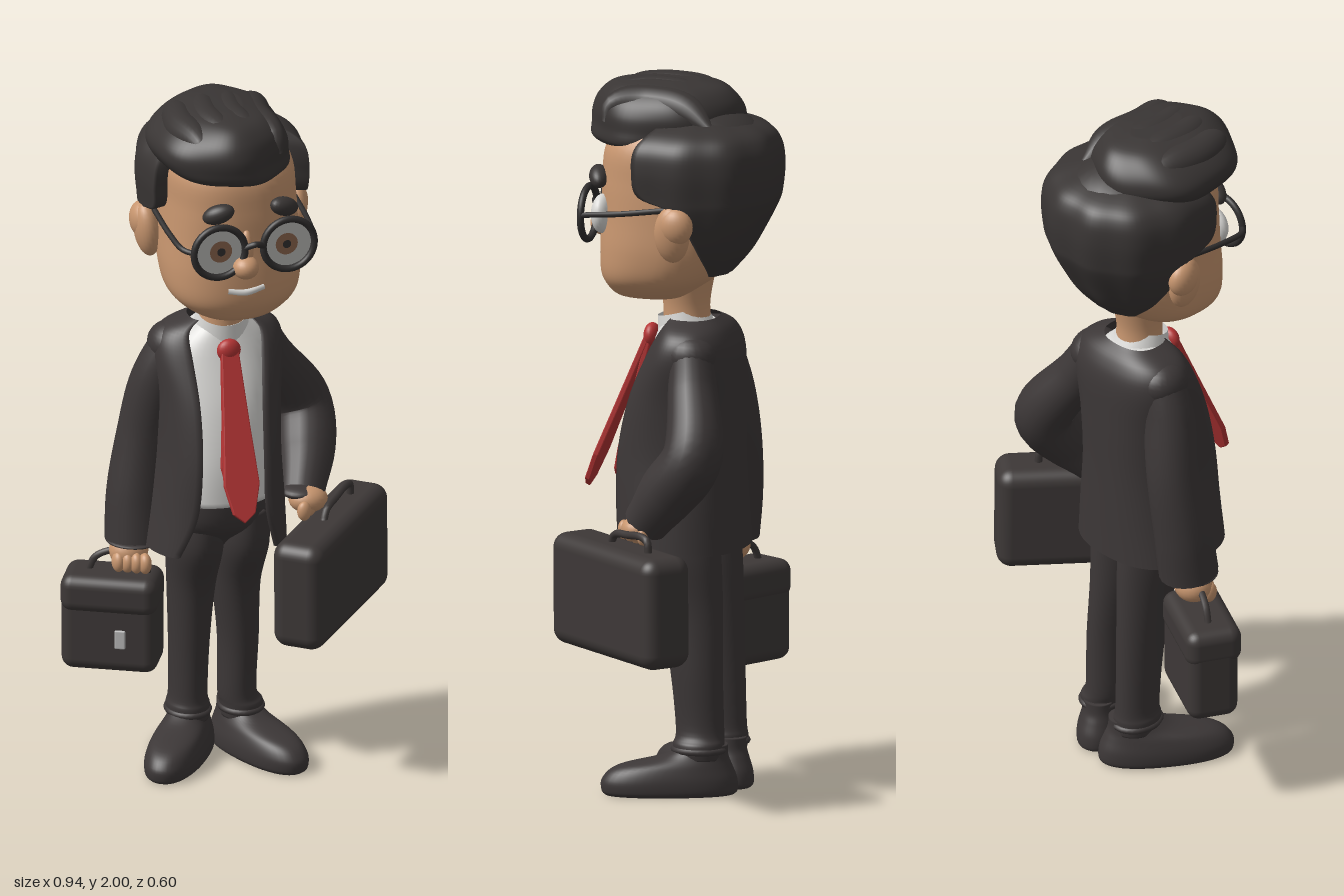
import * as THREE from 'three';
import { RoundedBoxGeometry } from 'three/addons/geometries/RoundedBoxGeometry.js';

const mat = (name, color, side = THREE.FrontSide) => {
  const m = new THREE.MeshStandardMaterial({ color, side });
  m.name = name;
  return m;
};
const V = (x, y, z) => new THREE.Vector3(x, y, z);

// Smooth value of a list of rows at t (0..1)
function sample(rows, t) {
  const f = t * (rows.length - 1), i = Math.min(Math.floor(f), rows.length - 2), u = f - i;
  const at = k => rows[Math.max(0, Math.min(rows.length - 1, k))];
  return rows[i].map((b, c) => {
    const a = at(i - 1)[c], d = at(i + 1)[c], e = at(i + 2)[c];
    return b + 0.5 * u * (d - a + u * (2 * a - 5 * b + 4 * d - e + u * (3 * (b - d) + e - a)));
  });
}

// Skin over horizontal sections [y, cx, cz, rx, rz, openHalfAngle], listed upwards.
// With lip set, the front stays open and its edges fold inwards to that scale.
function loft(rows, { power = 2, lip = 0, wave = () => 1, steps = 6, n = 48 } = {}) {
  const pos = [], idx = [], rings = (rows.length - 1) * steps;
  const w = lip ? n + 3 : n;
  for (let i = 0; i <= rings; i++) {
    const [y, cx, cz, rx, rz, open = 0] = sample(rows, i / rings);
    for (let j = 0; j < w; j++) {
      let k = 1, th = (j / n) * Math.PI * 2;
      if (lip) {
        if (j === 0 || j === w - 1) k = lip;
        th = open + (Math.max(0, Math.min(n, j - 1)) / n) * 2 * (Math.PI - open);
      }
      const s = Math.sin(th), c = Math.cos(th);
      k *= wave(th, y) / (Math.abs(s) ** power + Math.abs(c) ** power) ** (1 / power);
      pos.push(cx + rx * s * k, y, cz + rz * c * k);
    }
  }
  const cols = lip ? w - 1 : w;
  for (let i = 0; i < rings; i++) for (let j = 0; j < cols; j++) {
    const a = i * w + j, b = i * w + (j + 1) % w;
    idx.push(a, b, a + w, b, b + w, a + w);
  }
  if (!lip) {
    const low = rows[0], top = rows[rows.length - 1], c = pos.length / 3;
    pos.push(low[1], low[0], low[2], top[1], top[0], top[2]);
    for (let j = 0; j < w; j++) {
      const k = (j + 1) % w;
      idx.push(c, k, j, c + 1, rings * w + j, rings * w + k);
    }
  }
  const g = new THREE.BufferGeometry();
  g.setAttribute('position', new THREE.Float32BufferAttribute(pos, 3));
  g.setIndex(idx);
  g.computeVertexNormals();
  return g;
}

// Tube whose radius follows a list of radii
function limb(points, radii, seg = 28) {
  const curve = new THREE.CatmullRomCurve3(points);
  const g = new THREE.TubeGeometry(curve, seg, 1, 20), p = g.attributes.position, v = V();
  for (let i = 0; i < p.count; i++) {
    const t = Math.floor(i / 21) / seg, c = curve.getPointAt(t);
    v.fromBufferAttribute(p, i).sub(c).multiplyScalar(sample(radii.map(r => [r]), t)[0]).add(c);
    p.setXYZ(i, v.x, v.y, v.z);
  }
  return g;
}

export function createModel() {
  const root = new THREE.Group();
  const suit = mat('suit charcoal', 0x3c3737, THREE.DoubleSide);
  const hair = mat('hair black', 0x393534, THREE.DoubleSide);
  const skin = mat('skin', 0xc8966f);
  const white = mat('shirt white', 0xd9d8d5, THREE.DoubleSide);
  const red = mat('tie red', 0xb43434, THREE.DoubleSide);
  const frame = mat('frame black', 0x2f2d2d);
  const lens = mat('lens grey', 0xb2b1ae);
  const brown = mat('iris brown', 0x84604a);
  const leather = mat('case leather', 0x3d3837);
  const silver = mat('clasp silver', 0xb8b8b8);

  const add = (name, geo, m, parent = root) => {
    const o = new THREE.Mesh(geo, m);
    o.name = name;
    parent.add(o);
    return o;
  };
  const blob = (name, m, p, s, rz = 0, ry = 0) => {
    const o = add(name, new THREE.SphereGeometry(1, 24, 16), m);
    o.position.set(...p); o.scale.set(...s); o.rotation.set(0, ry, rz);
  };
  const tube = (name, m, pts, r, parent = root) =>
    add(name, new THREE.TubeGeometry(new THREE.CatmullRomCurve3(pts), 24, r, 8), m, parent);

  // Trousers and shoes
  add('hips', loft([[0.6, -0.04, -0.05, 0.03, 0.04], [0.68, -0.04, -0.04, 0.11, 0.09],
    [0.75, -0.042, -0.02, 0.14, 0.132], [0.87, -0.045, -0.01, 0.135, 0.138]], { power: 2.3 }), suit);
  for (const [side, x, z, yaw] of [['right', -0.1, -0.11, -0.6], ['left', 0.035, -0.09, 0.36]]) {
    const d = side === 'left' ? 0.012 : 0;
    add(side + 'Leg', loft([[0.1, x + d, z, 0.057, 0.068], [0.14, x + d, z, 0.06, 0.072], [0.18, x, z, 0.053, 0.068],
      [0.34, x, z + 0.01, 0.056, 0.074], [0.52, x - d, z + 0.03, 0.066, 0.09],
      [0.66, x - d, z + 0.065, 0.078, 0.12], [0.78, x - d, z + 0.075, 0.07, 0.118]]), suit);
    const cuff = add(side + 'Cuff', new THREE.TorusGeometry(0.056, 0.01, 8, 28), suit);
    cuff.position.set(x + d, 0.125, z); cuff.rotation.x = Math.PI / 2; cuff.scale.y = 1.2;
    const shoe = add(side + 'Shoe', loft([[0, 0, 0.08, 0.068, 0.178], [0.012, 0, 0.08, 0.078, 0.188],
      [0.045, 0, 0.08, 0.078, 0.186], [0.08, 0, 0.065, 0.068, 0.158], [0.108, 0, 0.01, 0.054, 0.092],
      [0.14, 0, -0.02, 0.045, 0.06]], { power: 2.3 }), suit);
    shoe.position.set(x + d, 0, z); shoe.rotation.y = yaw;
  }

  // Shirt, open jacket and collar
  add('shirt', loft([[0.82, -0.05, -0.01, 0.155, 0.148], [0.95, -0.045, -0.01, 0.145, 0.148], [1.1, -0.04, -0.025, 0.145, 0.137],
    [1.24, -0.035, -0.045, 0.14, 0.107], [1.32, -0.03, -0.035, 0.07, 0.07]], { power: 2.3 }), white);
  add('jacket', loft([[0.68, -0.058, -0.012, 0.2, 0.18, 0.75], [0.8, -0.05, -0.01, 0.185, 0.178, 0.57],
    [0.95, -0.045, -0.01, 0.17, 0.174, 0.56], [1.1, -0.04, -0.027, 0.172, 0.156, 0.56],
    [1.23, -0.035, -0.055, 0.185, 0.124, 0.58], [1.295, -0.033, -0.06, 0.16, 0.095, 0.7],
    [1.33, -0.03, -0.05, 0.088, 0.07, 0.9]], { power: 2.4, lip: 0.93, n: 56 }), suit);
  const collar = add('collar', new THREE.CylinderGeometry(0.068, 0.087, 0.08, 32, 1, true), white);
  collar.position.set(-0.03, 1.305, -0.025); collar.rotation.x = 0.25;

  // Tie with two hanging blades and a knot
  const blade = (name, w, len, p, tilt) => {
    const s = new THREE.Shape([[-0.022, 0], [0.022, 0], [w * 0.75, -len * 0.45], [w, -len * 0.78], [w * 0.6, -len * 0.95],
      [0, -len], [-w * 0.6, -len * 0.95], [-w, -len * 0.78], [-w * 0.75, -len * 0.45]].map(q => new THREE.Vector2(...q)));
    const o = add(name, new THREE.ExtrudeGeometry(s, { depth: 0.01, bevelSize: 0.003, bevelThickness: 0.003, bevelSegments: 2 }), red);
    o.position.set(...p); o.rotation.set(tilt, 0, -0.03);
  };
  blade('tieFront', 0.048, 0.47, [-0.04, 1.26, 0.078], -0.4);
  blade('tieBack', 0.036, 0.4, [-0.04, 1.25, 0.075], -0.25);
  blob('tieKnot', red, [-0.04, 1.265, 0.075], [0.034, 0.033, 0.022]);

  // Arms and hands
  add('rightSleeve', limb([V(-0.15, 1.26, -0.07), V(-0.193, 1.16, -0.08), V(-0.23, 0.98, -0.1), V(-0.258, 0.8, -0.09), V(-0.265, 0.67, -0.075)],
    [0.06, 0.073, 0.074, 0.08, 0.083]), suit);
  add('leftSleeve', limb([V(0.085, 1.255, -0.08), V(0.13, 1.16, -0.1), V(0.238, 0.985, -0.135), V(0.225, 0.88, -0.06), V(0.19, 0.785, 0.015)],
    [0.06, 0.071, 0.082, 0.084, 0.064]), suit);
  blob('rightSleeveEnd', suit, [-0.265, 0.67, -0.075], [0.082, 0.012, 0.082]);
  blob('rightShoulder', suit, [-0.162, 1.245, -0.07], [0.065, 0.062, 0.075]);
  blob('leftShoulder', suit, [0.092, 1.24, -0.08], [0.065, 0.062, 0.075]);
  blob('leftSleeveEnd', suit, [0.19, 0.79, 0.012], [0.06, 0.02, 0.055]);
  blob('rightHand', skin, [-0.282, 0.635, -0.075], [0.055, 0.048, 0.052]);
  blob('leftHand', skin, [0.203, 0.77, 0.032], [0.055, 0.038, 0.047]);
  for (let i = 0; i < 4; i++) {
    blob('rightFinger', skin, [-0.32 + i * 0.022, 0.615, -0.05 + i * 0.012], [0.018, 0.03, 0.024]);
    blob('leftFinger', skin, [0.175 + i * 0.022, 0.757, 0.085 - i * 0.026], [0.02, 0.028, 0.016]);
  }

  // Satchel in the right hand
  const satchel = new THREE.Group();
  satchel.name = 'satchel';
  satchel.position.set(-0.325, 0.435, -0.087); satchel.rotation.y = -0.49;
  root.add(satchel);
  add('satchelBody', new RoundedBoxGeometry(0.27, 0.28, 0.145, 4, 0.035), leather, satchel);
  add('satchelFlap', new RoundedBoxGeometry(0.272, 0.11, 0.16, 4, 0.035), leather, satchel).position.set(0, 0.088, 0.003);
  add('satchelClasp', new RoundedBoxGeometry(0.03, 0.055, 0.009, 2, 0.004), silver, satchel).position.set(0.035, -0.035, 0.076);
  tube('satchelHandle', leather, [V(-0.07, 0.13, 0), V(-0.045, 0.18, 0), V(0.03, 0.205, 0), V(0.09, 0.18, 0), V(0.1, 0.13, 0)], 0.01, satchel);

  // Briefcase in the left hand
  const briefcase = new THREE.Group();
  briefcase.name = 'briefcase';
  briefcase.position.set(0.258, 0.578, 0.065); briefcase.rotation.set(0, 0.876, 0.01);
  root.add(briefcase);
  add('briefcaseBody', new RoundedBoxGeometry(0.525, 0.312, 0.15, 5, 0.042), leather, briefcase);
  tube('briefcaseHandle', leather, [V(-0.05, 0.15, 0), V(-0.03, 0.178, 0), V(0.04, 0.188, 0), V(0.11, 0.194, 0), V(0.14, 0.185, 0), V(0.145, 0.15, 0)], 0.011, briefcase);

  // Neck, head and ears
  add('neck', loft([[1.27, -0.03, -0.035, 0.07, 0.07], [1.36, -0.028, -0.03, 0.062, 0.065], [1.45, -0.025, -0.03, 0.075, 0.08]]), skin);
  add('head', loft([[1.378, -0.022, 0.06, 0.04, 0.05], [1.39, -0.022, 0.06, 0.1, 0.1], [1.42, -0.022, 0.05, 0.152, 0.135],
    [1.46, -0.022, 0.035, 0.183, 0.165], [1.53, -0.022, 0.015, 0.194, 0.187], [1.62, -0.022, 0, 0.191, 0.198],
    [1.72, -0.022, -0.01, 0.186, 0.208], [1.82, -0.025, -0.02, 0.178, 0.205], [1.9, -0.025, -0.03, 0.12, 0.14]], { power: 2.4 }), skin);
  for (const s of [-1, 1]) {
    blob('ear', skin, [-0.022 + s * 0.212, 1.6, -0.06], [0.036, 0.08, 0.05], -s * 0.12);
    blob('earLobe', skin, [-0.022 + s * 0.222, 1.625, -0.075], [0.034, 0.052, 0.048]);
  }
  blob('nose', skin, [-0.035, 1.57, 0.213], [0.037, 0.033, 0.038]);
  blob('noseBridge', skin, [-0.028, 1.615, 0.195], [0.02, 0.06, 0.025]);

  // Smile
  tube('teeth', white, [V(-0.08, 1.497, 0.193), V(-0.03, 1.49, 0.201), V(0.022, 1.5, 0.195)], 0.01);

  // Eyes, glasses and eyebrows
  for (const s of [-1, 1]) {
    const x = -0.011 + s * 0.1, y = 1.625;
    blob('eye', white, [x, y, 0.175], [0.052, 0.055, 0.03]);
    const glass = add('lens', new THREE.CircleGeometry(0.07, 32), lens);
    glass.position.set(x, y, 0.208);
    const iris = add('iris', new THREE.CircleGeometry(0.032, 24), brown);
    iris.position.set(x - s * 0.005, y, 0.212);
    const pupil = add('pupil', new THREE.CircleGeometry(0.012, 20), frame);
    pupil.position.set(x - s * 0.005, y, 0.215);
    add('rim', new THREE.TorusGeometry(0.074, 0.01, 10, 40), frame).position.set(x, y, 0.215);
    tube('temple', frame, [V(x + s * 0.073, 1.63, 0.215), V(-0.02 + s * 0.188, 1.635, 0.19), V(-0.02 + s * 0.198, 1.645, 0.1), V(-0.02 + s * 0.2, 1.665, -0.04)], 0.008);
    blob('eyebrow', hair, [x - s * 0.005, 1.728, 0.188], [0.046, 0.027, 0.027], -s * 0.35, s * 0.35);
  }
  tube('glassesBridge', frame, [V(-0.038, 1.63, 0.217), V(-0.011, 1.642, 0.23), V(0.016, 1.63, 0.217)], 0.009);

  // Side and back hair, crown, then the swept top with its locks
  add('backHair', loft([[1.46, -0.022, -0.08, 0.1, 0.08, 2.15], [1.52, -0.022, -0.06, 0.165, 0.15, 2.0],
    [1.59, -0.022, -0.05, 0.205, 0.2, 1.85], [1.66, -0.022, -0.05, 0.225, 0.235, 1.7], [1.7, -0.022, -0.05, 0.23, 0.245, 1.22],
    [1.77, -0.022, -0.05, 0.235, 0.25, 1.15], [1.83, -0.022, -0.05, 0.225, 0.24, 1.15], [1.87, -0.022, -0.06, 0.185, 0.195, 1.15],
    [1.9, -0.022, -0.06, 0.1, 0.1, 1.15]], { power: 2.2, lip: 0.78, n: 64, wave: t => 1 + 0.014 * Math.cos(11 * t) }), hair);
  blob('crownHair', hair, [-0.022, 1.8, -0.085], [0.172, 0.125, 0.185]);
  add('topHair', loft([[1.8, -0.02, 0.08, 0.09, 0.1], [1.825, -0.04, 0.055, 0.165, 0.18], [1.865, -0.058, 0.035, 0.188, 0.208],
    [1.905, -0.06, 0.03, 0.188, 0.212], [1.945, -0.053, 0.028, 0.16, 0.195], [1.978, -0.045, 0.025, 0.11, 0.155],
    [1.993, -0.042, 0.02, 0.05, 0.08]], { power: 2, n: 72, wave: (t, y) => 1 + 0.025 * Math.sin(6 * t + 14 * y) }), hair);
  for (let i = 0; i < 4; i++) {
    const x = -0.165 + i * 0.07, h = 1.925 + 0.024 * Math.sin((i + 0.5) * Math.PI / 4);
    add('hairLock', limb([V(x + 0.03, h - 0.055, 0.17), V(x + 0.02, h - 0.01, 0.155), V(x, h, 0.06), V(x + 0.02, h - 0.01, -0.06), V(x + 0.04, h - 0.06, -0.14)],
      [0.012, 0.046, 0.05, 0.046, 0.012]), hair);
  }
  return root;
}
